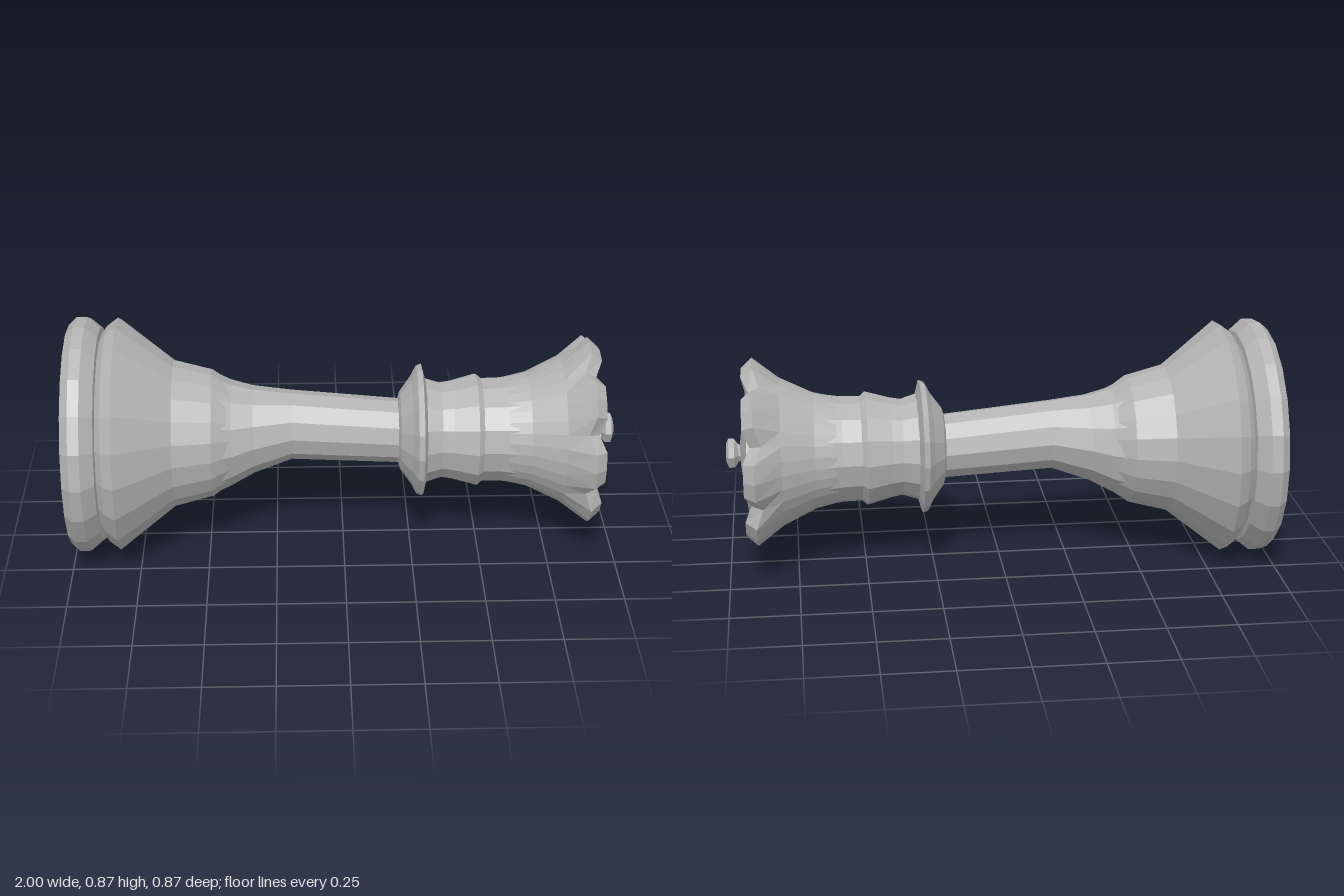
import * as THREE from 'three';

// Turned piece lying along x: profiles are [position along x, radius]
export function createModel() {
  const model = new THREE.Group();
  const gray = new THREE.MeshStandardMaterial({ color: 0xb4b4b4, flatShading: true });
  gray.name = 'gray';

  const piece = new THREE.Group();
  piece.name = 'chessPiece';
  piece.rotation.z = -Math.PI / 2;
  piece.position.y = 0.435;
  model.add(piece);

  function turned(name, sides, profile, shape) {
    const points = profile.map(([x, r]) => new THREE.Vector2(r, x));
    const geometry = new THREE.LatheGeometry(points, sides);
    const p = geometry.attributes.position;
    const v = new THREE.Vector3();
    if (shape) {
      for (let i = 0; i < p.count; i++) {
        v.fromBufferAttribute(p, i);
        shape(v);
        p.setXYZ(i, v.x, v.y, v.z);
      }
    }
    geometry.computeVertexNormals();
    const mesh = new THREE.Mesh(geometry, gray);
    mesh.name = name;
    piece.add(mesh);
  }

  // Round foot with a groove above it
  turned('base', 20, [
    [-1, 0], [-1, 0.405], [-0.97, 0.433], [-0.93, 0.433], [-0.885, 0.395],
    [-0.88, 0.36],
  ]);

  // Flared lower body
  turned('flare', 20, [
    [-0.89, 0.36], [-0.86, 0.4], [-0.82, 0.43], [-0.62, 0.272], [-0.48, 0.236],
    [-0.4, 0.18],
  ]);

  // Slender stem, slightly bowed upward near its foot
  turned('stem', 12, [
    [-0.5, 0.236], [-0.41, 0.195], [-0.33, 0.162], [-0.19, 0.128], [0.2, 0.119], [0.24, 0.119],
  ], (v) => {
    if (Math.abs(v.y + 0.19) < 0.01) v.x -= 0.03;
    if (Math.abs(v.y + 0.33) < 0.01) v.x -= 0.012;
  });

  // Wide collar
  turned('collar', 16, [
    [0.2, 0.11], [0.21, 0.145], [0.25, 0.2], [0.27, 0.238], [0.29, 0.246],
    [0.305, 0.19], [0.31, 0.15],
  ]);

  // Neck with a small raised ring
  turned('neck', 14, [
    [0.29, 0.2], [0.36, 0.178], [0.4, 0.185], [0.49, 0.21], [0.51, 0.193], [0.58, 0.195],
    [0.68, 0.21],
  ]);

  // Flaring crown whose rim is cut by eight notches
  turned('crown', 32, [
    [0.6, 0.195], [0.68, 0.214], [0.8, 0.272], [0.895, 0.355], [0.935, 0.318], [0.91, 0.23],
  ], (v) => {
    const wave = Math.cos(8 * Math.atan2(v.x, v.z));
    const onEdge = v.y > 0.89 && Math.hypot(v.x, v.z) > 0.3;
    if (onEdge && wave < -0.5) {
      const scale = v.y > 0.92 ? 0.9 : 0.87;
      v.x *= scale;
      v.z *= scale;
      v.y -= 0.025;
    } else if (onEdge && wave < 0.5) {
      v.x *= 0.98;
      v.z *= 0.98;
    }
  });

  // Shallow domed top and its knob
  turned('crownTop', 20, [[0.9, 0.235], [0.922, 0.235], [0.947, 0.05], [0.95, 0]]);
  turned('knob', 8, [
    [0.94, 0.03], [0.955, 0.034], [0.97, 0.056], [0.99, 0.058], [1, 0.035], [1, 0],
  ]);

  return model;
}
